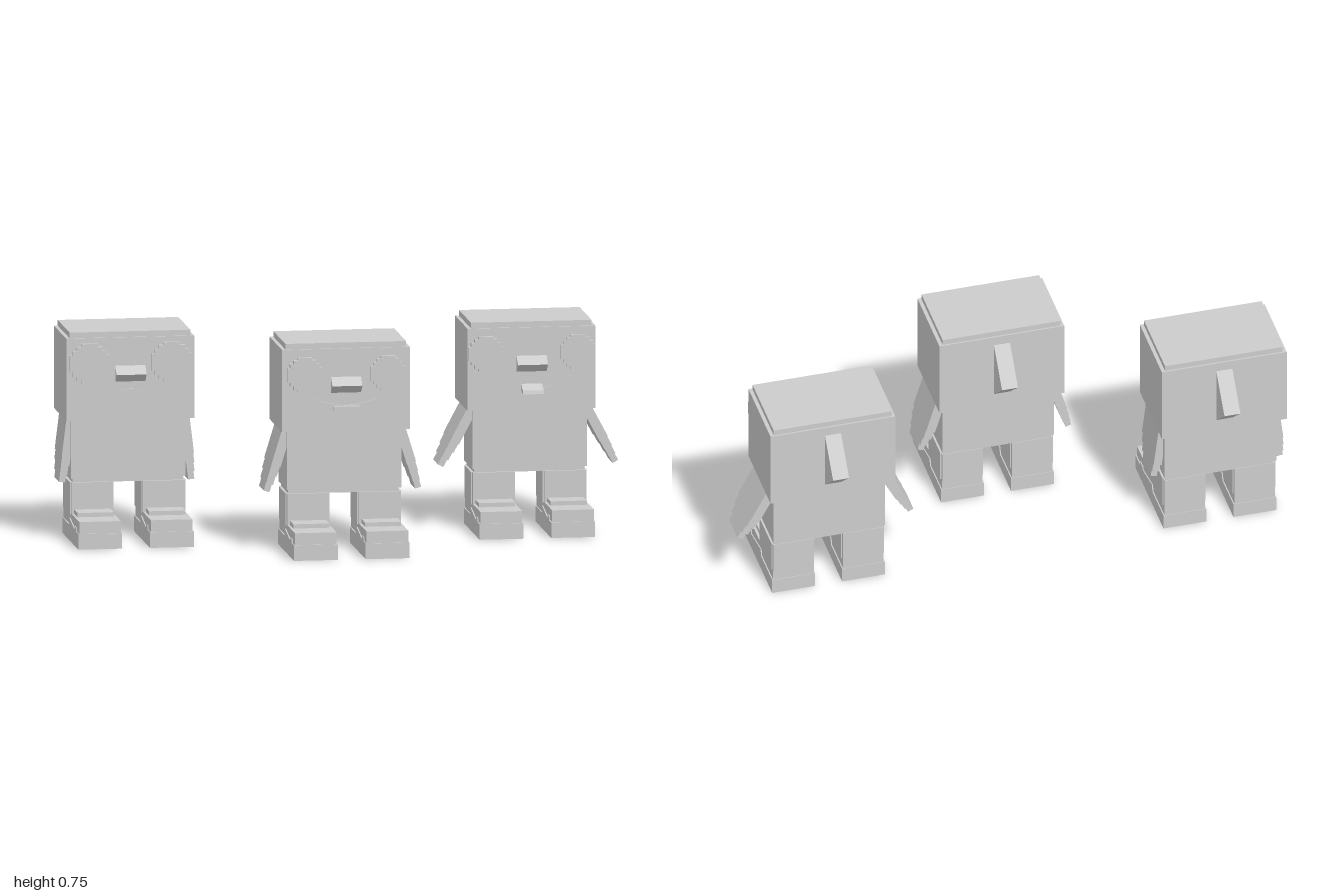
import * as THREE from 'three';

const grey = new THREE.MeshStandardMaterial({ color: 0xcccccc });
grey.name = 'plain grey';

function add(parent, name, geometry) {
  const mesh = new THREE.Mesh(geometry, grey);
  mesh.name = name;
  parent.add(mesh);
  return mesh;
}

// Box given by its limits on each axis
function box(parent, name, [x0, x1], [y0, y1], [z0, z1]) {
  const g = new THREE.BoxGeometry(x1 - x0, y1 - y0, z1 - z0);
  g.translate((x0 + x1) / 2, (y0 + y1) / 2, (z0 + z1) / 2);
  return add(parent, name, g);
}

const outline = pts => new THREE.Shape(pts.map(p => new THREE.Vector2(...p)));

// Side profile of (z, y) points, extruded across x
function prism(parent, name, pts, x, width) {
  const g = new THREE.ExtrudeGeometry(outline(pts), { depth: width, bevelEnabled: false });
  g.translate(0, 0, -width / 2).rotateY(-Math.PI / 2).translate(x, 0, 0);
  return add(parent, name, g);
}

// Front outline of (x, y) points, extruded out of the face
const FACE = 0.145;
function plate(parent, name, pts, depth) {
  const g = new THREE.ExtrudeGeometry(outline(pts), { depth, bevelEnabled: false });
  return add(parent, name, g.translate(0, 0, FACE));
}

// Curved band on the face: bend > 0 smiles, bend < 0 frowns
function mouthBand(parent, name, x0, x1, y, bend, thick, depth) {
  const mid = (x0 + x1) / 2, half = (x1 - x0) / 2, n = 10;
  const low = [], high = [];
  for (let i = 0; i <= n; i++) {
    const t = (i / n) * 2 - 1;
    const yy = y + bend * t * t;
    low.push([mid + t * half, yy]);
    high.unshift([mid + t * half, yy + thick]);
  }
  return plate(parent, name, [...low, ...high], depth);
}

// Round eye with a stepped, pixel-like edge
function eye(parent, x, y, r) {
  const quarter = [[1, 0.42], [0.85, 0.42], [0.85, 0.65], [0.65, 0.65], [0.65, 0.85], [0.42, 0.85], [0.42, 1]];
  const pts = [];
  for (let q = 0; q < 4; q++) {
    for (const [a, b] of quarter) {
      const [u, v] = [[a, b], [-b, a], [-a, -b], [b, -a]][q];
      pts.push([x + u * r, y + v * r]);
    }
  }
  plate(parent, 'eye', pts, 0.014);
}

// Flat wing-like arm whose end narrows in steps
function arm(parent, side, angle) {
  const group = new THREE.Group();
  group.name = side > 0 ? 'leftArm' : 'rightArm';
  const steps = [[0, 0.135, 0.083, 0.017], [0.135, 0.17, 0.077, 0.015],
    [0.17, 0.203, 0.067, 0.013], [0.203, 0.232, 0.054, 0.011]];
  for (const [top, end, halfZ, halfX] of steps) {
    box(group, 'armSegment', [-halfX, halfX], [-end, -top], [0.008 - halfZ, 0.008 + halfZ]);
  }
  group.position.set(side * 0.2, 0.434, 0);
  group.rotation.z = side * THREE.MathUtils.degToRad(angle);
  parent.add(group);
}

function leg(parent, side) {
  const group = new THREE.Group();
  group.name = side > 0 ? 'leftLeg' : 'rightLeg';
  const x = side * 0.1265;
  box(group, 'trouser', [x - 0.0735, x + 0.0735], [0.093, 0.207], [-0.087, 0.096]);
  box(group, 'trouserPanel', [x - 0.0775, x + 0.0775], [0.093, 0.207], [-0.074, 0.082]);
  prism(group, 'shoeSole', [[-0.087, 0], [0.28, 0], [0.28, 0.055], [0.224, 0.055], [0.224, 0.069],
    [0.193, 0.069], [0.19, 0.057], [0.0675, 0.08], [0.058, 0.055], [-0.087, 0.055]], x, 0.155);
  prism(group, 'shoeUpper', [[-0.085, 0.05], [0.276, 0.05], [0.276, 0.097], [-0.085, 0.097]], x, 0.147);
  box(group, 'shoeTongue', [x - 0.064, x + 0.064], [0.09, 0.112], [0.08, 0.174]);
  parent.add(group);
}

function figure(name, { x, z, eyeX, eyeR, armAngle }) {
  const f = new THREE.Group();
  f.name = name;
  f.position.set(x, 0, z);

  // Head and cap
  box(f, 'head', [-0.226, 0.226], [0.434, 0.725], [-FACE, FACE]);
  box(f, 'headTop', [-0.213, 0.213], [0.72, 0.745], [-0.139, 0.139]);
  prism(f, 'beak', [[0.144, 0.568], [0.178, 0.597], [0.144, 0.626]], 0, 0.106);
  prism(f, 'backCrest', [[-0.144, 0.692], [-0.252, 0.572], [-0.144, 0.478]], 0, 0.058);

  // Body and hips
  box(f, 'body', [-0.202, 0.202], [0.221, 0.434], [-0.095, 0.1]);
  box(f, 'hips', [-0.195, 0.195], [0.206, 0.222], [-0.085, 0.086]);

  for (const side of [-1, 1]) {
    eye(f, side * eyeX, 0.636, eyeR);
    arm(f, side, armAngle);
    leg(f, side);
  }
  return f;
}

export function createModel() {
  const model = new THREE.Group();
  model.name = 'threeFigures';

  const frowning = figure('frowningFigure', { x: -0.753, z: -0.191, eyeX: 0.145, eyeR: 0.07, armAngle: 7 });
  mouthBand(frowning, 'frown', -0.1, 0.1, 0.535, -0.04, 0.008, 0.004);

  const grinning = figure('grinningFigure', { x: -0.045, z: 0.162, eyeX: 0.147, eyeR: 0.061, armAngle: 17 });
  mouthBand(grinning, 'grin', -0.11, 0.11, 0.495, 0.025, 0.03, 0.008);
  box(grinning, 'teeth', [-0.046, 0.046], [0.508, 0.524], [FACE, 0.174]);

  const smirking = figure('smirkingFigure', { x: 0.664, z: -0.191, eyeX: 0.163, eyeR: 0.061, armAngle: 28 });
  mouthBand(smirking, 'smirk', -0.11, 0.13, 0.5, 0.045, 0.006, 0.004);
  prism(smirking, 'tongue', [[0.144, 0.503], [0.19, 0.495], [0.186, 0.508], [0.144, 0.526]], 0, 0.074);

  model.add(frowning, grinning, smirking);
  return model;
}
